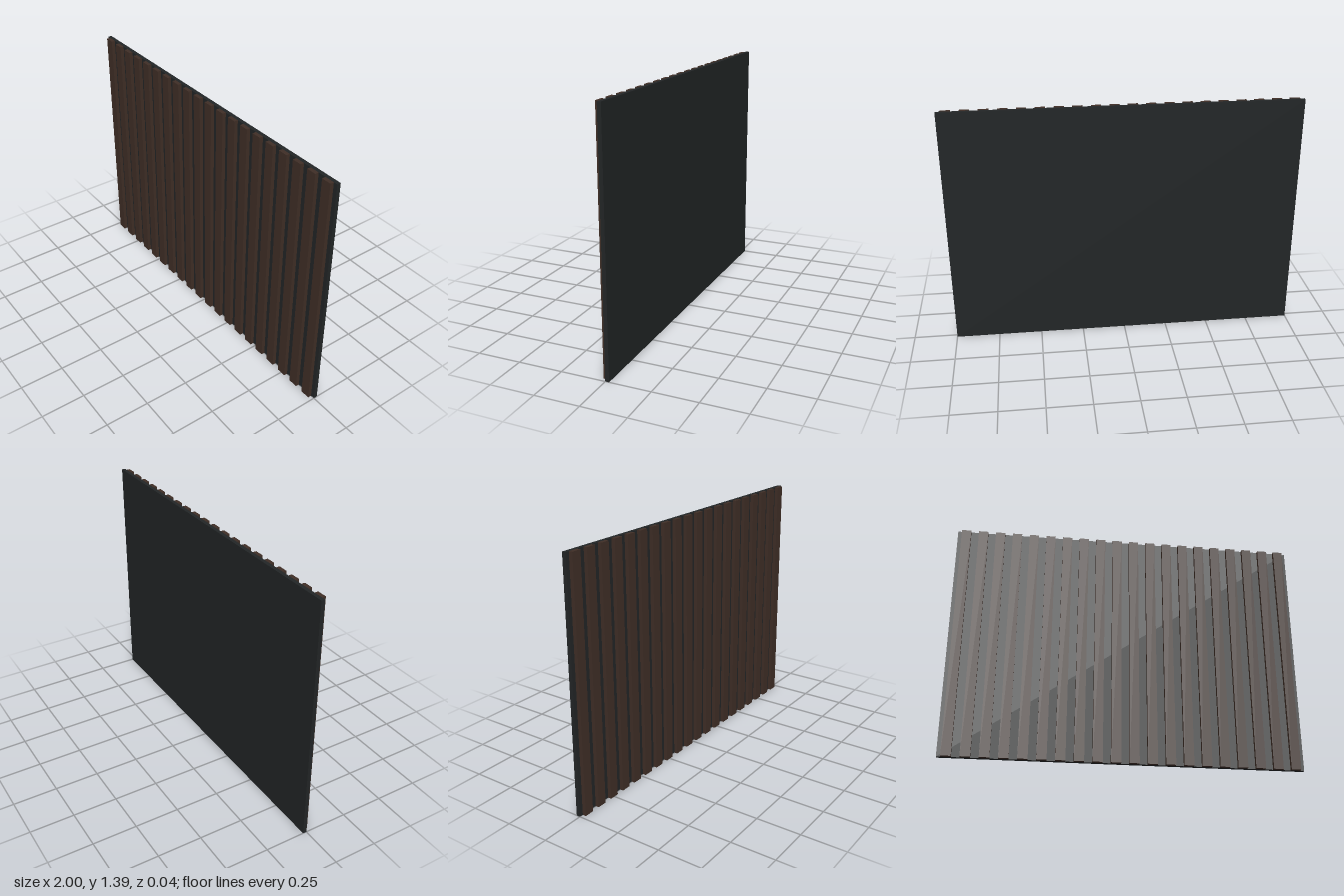
import * as THREE from 'three';

const WIDTH = 2, HEIGHT = 1.39;
const PANEL_DEPTH = 0.021, SLAT_DEPTH = 0.021;
const SLAT_COUNT = 20, SLAT_WIDTH = 0.055;

export function createModel() {
  const model = new THREE.Group();
  model.name = 'slattedWallPanel';

  const backingMaterial = new THREE.MeshStandardMaterial({ color: 0x222526 });
  const slatMaterial = new THREE.MeshStandardMaterial({ color: 0x3f2e26 });

  // Dark backing board
  const backing = new THREE.Mesh(new THREE.BoxGeometry(WIDTH, HEIGHT, PANEL_DEPTH), backingMaterial);
  backing.name = 'backingPanel';
  backing.position.set(0, HEIGHT / 2, -PANEL_DEPTH / 2);
  model.add(backing);

  // Evenly spaced vertical wooden slats on the front
  const slats = new THREE.Group();
  slats.name = 'slats';
  const slatGeometry = new THREE.BoxGeometry(SLAT_WIDTH, HEIGHT, SLAT_DEPTH);
  const pitch = WIDTH / SLAT_COUNT;
  for (let i = 0; i < SLAT_COUNT; i++) {
    const slat = new THREE.Mesh(slatGeometry, slatMaterial);
    slat.name = `slat${i + 1}`;
    slat.position.set(-WIDTH / 2 + pitch * (i + 0.5), HEIGHT / 2, SLAT_DEPTH / 2);
    slats.add(slat);
  }
  model.add(slats);

  return model;
}
